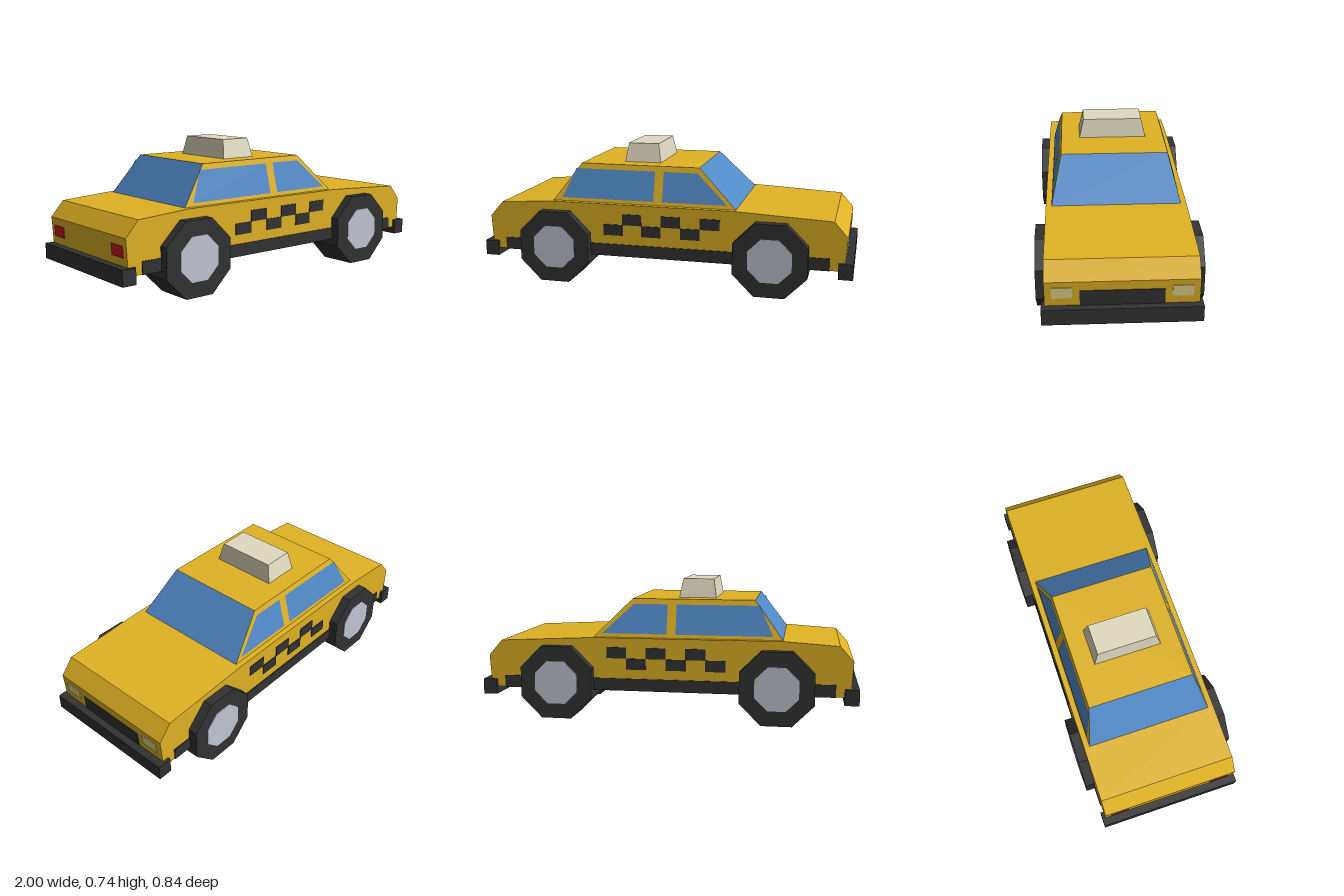
import * as THREE from 'three';

export function createModel() {
  const car = new THREE.Group();
  car.name = 'car';

  const paint = (name, color) => {
    const m = new THREE.MeshStandardMaterial({ color });
    m.name = name;
    return m;
  };
  const yellow = paint('yellow paint', 0xe0b224);
  const black = paint('black rubber', 0x323232);
  const blue = paint('blue glass', 0x518ac8);
  const grey = paint('hub grey', 0xc2c6d2);
  const cream = paint('sign cream', 0xe0dabf);
  const lamp = paint('headlight yellow', 0xe0d48c);
  const red = paint('tail light red', 0xc81c20);
  blue.side = THREE.DoubleSide;

  const add = (name, geometry, material, parent = car) => {
    const mesh = new THREE.Mesh(geometry, material);
    mesh.name = name;
    parent.add(mesh);
    return mesh;
  };
  // Box given by its limits
  const box = (name, x0, x1, y0, y1, z0, z1, material, parent) => {
    const mesh = add(name, new THREE.BoxGeometry(x1 - x0, y1 - y0, z1 - z0), material, parent);
    mesh.position.set((x0 + x1) / 2, (y0 + y1) / 2, (z0 + z1) / 2);
    return mesh;
  };
  const faceted = (geometry) => {
    const g = geometry.index ? geometry.toNonIndexed() : geometry;
    g.computeVertexNormals();
    return g;
  };
  // Tapered box: lower and upper rectangles as [x0, x1, half depth, y]
  const tapered = (low, high) => {
    const g = new THREE.BoxGeometry(2, 2, 2);
    const p = g.attributes.position;
    for (let i = 0; i < p.count; i++) {
      const [x0, x1, d, y] = p.getY(i) > 0 ? high : low;
      p.setXYZ(i, p.getX(i) > 0 ? x1 : x0, y, Math.sign(p.getZ(i)) * d);
    }
    g.computeVertexNormals();
    return g;
  };
  const shapeOf = (points) => new THREE.Shape(points.map(([x, y]) => new THREE.Vector2(x, y)));

  // Lower body from its side profile
  const profile = [
    [-0.957, 0.152], [0.957, 0.152], [0.968, 0.325], [0.898, 0.407],
    [0.396, 0.432], [-0.61, 0.434], [-0.898, 0.415], [-0.968, 0.335],
  ];
  const bodyGeometry = new THREE.ExtrudeGeometry(shapeOf(profile), { depth: 0.732, bevelEnabled: false });
  bodyGeometry.translate(0, 0, -0.366);
  add('body', bodyGeometry, yellow);

  // Cabin: front and rear faces are glass
  const low = [-0.612, 0.396, 0.337, 0.43];
  const high = [-0.46, 0.19, 0.284, 0.635];
  add('cabin', tapered(low, high), [blue, blue, yellow, yellow, yellow, yellow]);
  add('roofSign', tapered([-0.246, -0.045, 0.184, 0.634], [-0.23, -0.064, 0.16, 0.735]), cream);

  // Windows lie just off the sloping cabin sides
  const windows = {
    rearSideWindow: [[-0.558, 0.452], [-0.048, 0.452], [-0.048, 0.607], [-0.464 - 0.022, 0.607]],
    frontSideWindow: [[0, 0.452], [0.348, 0.452], [0.182, 0.607], [0, 0.607]],
  };
  const slope = (high[2] - low[2]) / (high[3] - low[3]);

  for (const s of [1, -1]) {
    for (const [name, points] of Object.entries(windows)) {
      const g = new THREE.ShapeGeometry(shapeOf(points.map(([x, y]) => [x * s, y])));
      const p = g.attributes.position;
      for (let i = 0; i < p.count; i++) p.setZ(i, low[2] + slope * (p.getY(i) - low[3]) + 0.003);
      if (s < 0) g.rotateY(Math.PI);
      g.computeVertexNormals();
      add(name, g, blue);
    }

    // Sill and checkered band
    const z = s * 0.367;
    box('sill', -0.882, 0.882, 0.151, 0.216, z - 0.004, z + 0.004, black);
    for (let i = 0; i < 6; i++) {
      const x = -0.316 + i * 0.1053;
      const y = i % 2 ? 0.324 : 0.265;
      box('checker', x, x + 0.1053, y, y + 0.059, z - 0.003, z + 0.003, black);
    }

    // Wheels: eight-sided tyres with flat hubs
    for (const x of [-0.583, 0.583]) {
      const wheel = new THREE.Group();
      wheel.name = x > 0 ? 'frontWheel' : 'rearWheel';
      wheel.position.set(x, 0.193, s * 0.3125);
      const disc = (name, apothem, width, material) => {
        const r = apothem / Math.cos(Math.PI / 8);
        const g = new THREE.CylinderGeometry(r, r, width, 8);
        g.rotateY(Math.PI / 8).rotateX(Math.PI / 2);
        return add(name, faceted(g), material, wheel);
      };
      disc('tyre', 0.193, 0.207, black);
      disc('hub', 0.114, 0.006, grey).position.z = s * 0.1035;
      car.add(wheel);
    }
  }

  // Nose and tail details; the tail is the nose turned round
  for (const isFront of [true, false]) {
    const end = new THREE.Group();
    end.name = isFront ? 'nose' : 'tail';
    if (!isFront) end.rotation.y = Math.PI;
    box('bumper', 0.925, 1, 0.113, 0.195, -0.382, 0.382, black, end);
    const plates = new THREE.Group();
    plates.name = 'endPlates';
    plates.position.set(0.957, 0.152, 0);
    plates.rotation.z = -0.064;
    for (const s of [1, -1]) {
      const c = s * 0.284;
      box(isFront ? 'headlight' : 'tailLight', -0.004, 0.004, 0.085, 0.143, c - 0.049, c + 0.049,
        isFront ? lamp : red, plates);
    }
    if (isFront) box('grille', -0.004, 0.004, 0.02, 0.125, -0.2, 0.2, black, plates);
    end.add(plates);
    car.add(end);
  }
  return car;
}
